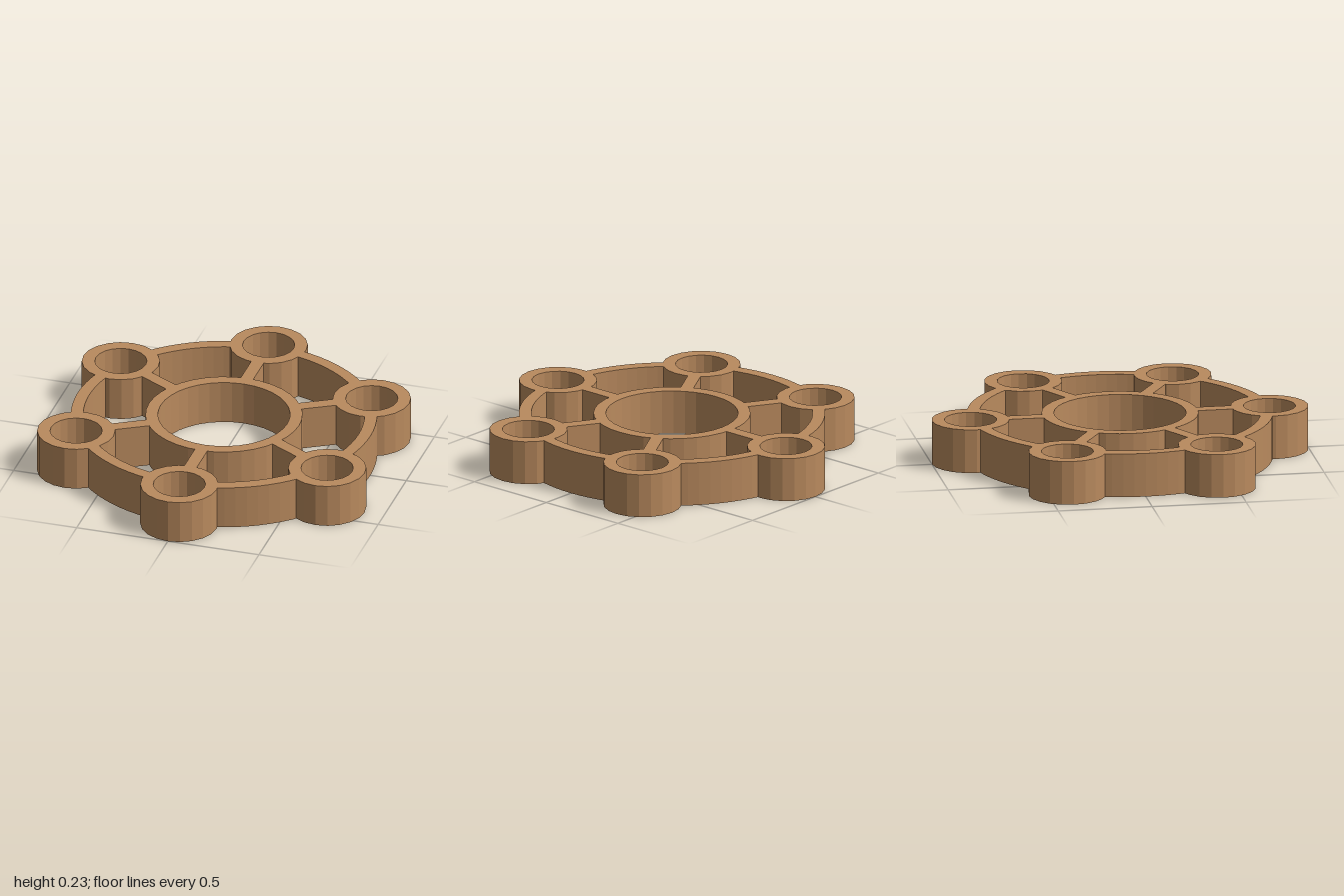
import * as THREE from 'three';

const HEIGHT = 0.235;
const CUP_DISTANCE = 0.795;

// Raises a flat outline to the full height, standing on y = 0
function raise(shape, curveSegments) {
  const geometry = new THREE.ExtrudeGeometry(shape, { depth: HEIGHT, bevelEnabled: false, curveSegments });
  return geometry.rotateX(-Math.PI / 2);
}

// Upright tube with an open centre
function tube(outer, inner, sides) {
  const shape = new THREE.Shape().absarc(0, 0, outer, 0, Math.PI * 2, false);
  shape.holes.push(new THREE.Path().absarc(0, 0, inner, 0, Math.PI * 2, true));
  return raise(shape, sides / 2);
}

export function createModel() {
  const model = new THREE.Group();
  model.name = 'sixCupHolder';
  const clay = new THREE.MeshStandardMaterial({ color: 0xb98a5e, flatShading: true });
  clay.name = 'tan';

  const add = (name, geometry) => {
    const mesh = new THREE.Mesh(geometry, clay);
    mesh.name = name;
    model.add(mesh);
    return mesh;
  };

  // Central ring
  add('hub', tube(0.412, 0.347, 36));

  const cup = tube(0.205, 0.137, 20);
  const spoke = new THREE.BoxGeometry(0.235, HEIGHT, 0.068).translate(0.5025, HEIGHT / 2, 0);

  // Rim piece running from inside one cup wall to the next
  const start = THREE.MathUtils.degToRad(13);
  const end = THREE.MathUtils.degToRad(47);
  const arc = new THREE.Shape();
  arc.absarc(0, 0, 0.803, start, end, false);
  arc.absarc(0, 0, 0.738, end, start, true);
  const rim = raise(arc, 4);

  // Six cups, spokes and rim pieces
  for (let i = 0; i < 6; i++) {
    const angle = Math.PI / 2 + i * Math.PI / 3;
    add('cup', cup).position.set(Math.cos(angle) * CUP_DISTANCE, 0, -Math.sin(angle) * CUP_DISTANCE);
    add('spoke', spoke).rotation.y = angle;
    add('rimSegment', rim).rotation.y = angle;
  }
  return model;
}
